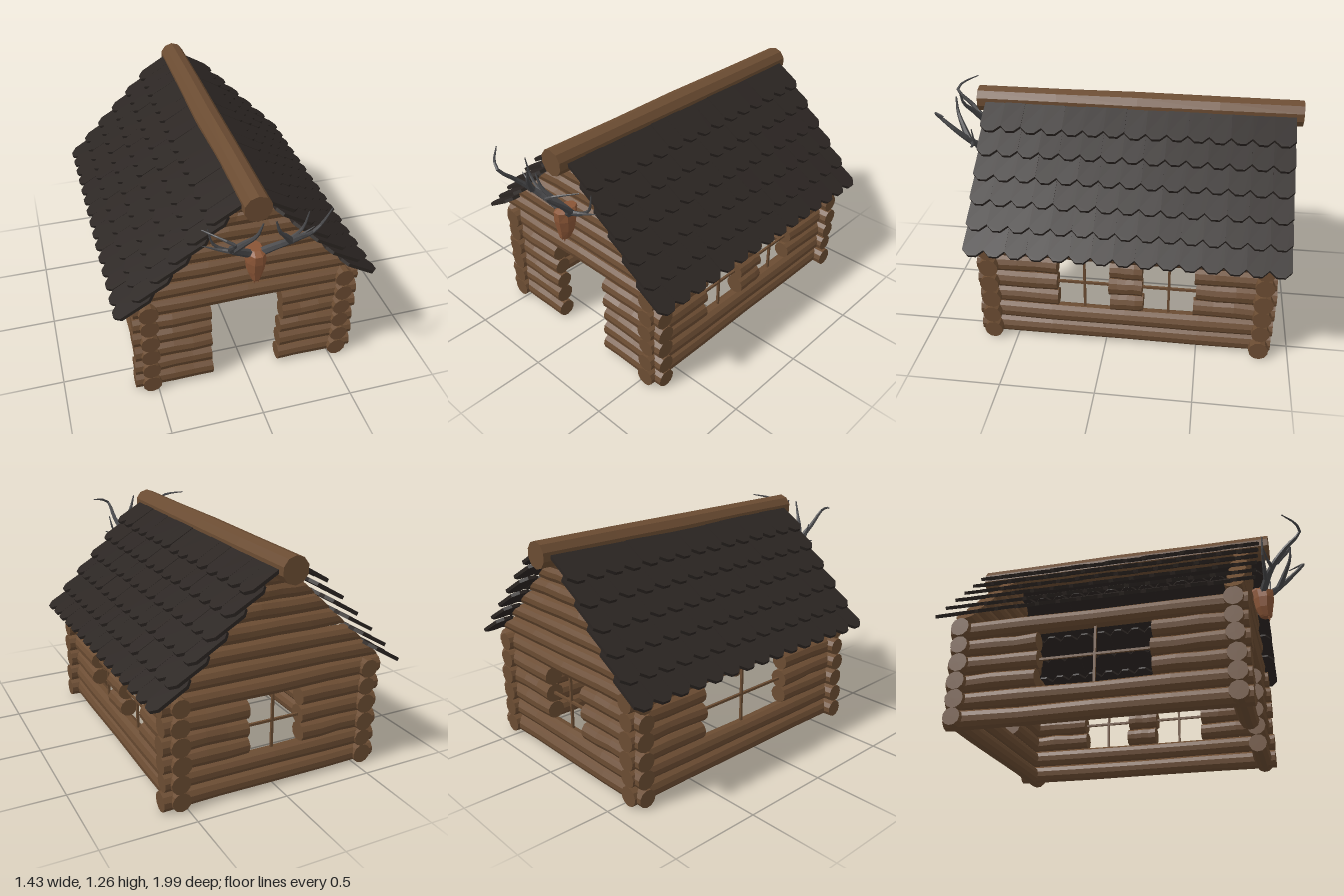
import * as THREE from 'three';

const mat = (color, extra = {}) => new THREE.MeshStandardMaterial({ color, flatShading: true, ...extra });
const wood = mat(0x6b4c32);
const slate = mat(0x2b2522);
const bone = mat(0x8a5536);
const horn = mat(0x48484a);

let seed = 7;
const rand = () => {
  seed = (seed * 16807) % 2147483647;
  return seed / 2147483647 - 0.5;
};

function add(parent, name, geometry, material) {
  const mesh = new THREE.Mesh(geometry, material);
  mesh.name = name;
  parent.add(mesh);
  return mesh;
}

// Rough log along 'x' or 'z' from a to b; each ring is slightly shifted and scaled.
function logGeometry(axis, a, b, radius, sides = 11) {
  const segs = 4, length = b - a;
  const g = new THREE.CylinderGeometry(radius, radius, length, sides, segs);
  const rings = Array.from({ length: segs + 1 }, () => [1 + rand() * 0.1, rand() * 0.006, rand() * 0.006]);
  const p = g.attributes.position;
  for (let i = 0; i < p.count; i++) {
    const [s, dx, dz] = rings[Math.round((p.getY(i) / length + 0.5) * segs)];
    p.setX(i, p.getX(i) * s + dx);
    p.setZ(i, p.getZ(i) * s + dz);
  }
  if (axis === 'x') g.rotateZ(-Math.PI / 2).translate((a + b) / 2, 0, 0);
  else g.rotateX(Math.PI / 2).translate(0, 0, (a + b) / 2);
  g.computeVertexNormals();
  return g;
}

const ROWS = 6, R = 0.051;
const rowY = (k) => 0.056 + 0.1015 * k;

// Wall of stacked logs; openings are [from, to, firstRow], reaching up to row 4.
function wall(root, name, axis, offset, start, end, openings) {
  const group = new THREE.Group();
  group.name = name;
  root.add(group);
  for (let k = 0; k < ROWS; k++) {
    let from = start + rand() * 0.012;
    const place = (to) => {
      const log = add(group, 'wallLog', logGeometry(axis, from, to, R), wood);
      log.position.set(axis === 'z' ? offset : 0, rowY(k), axis === 'x' ? offset : 0);
    };
    for (const [a, b, first] of openings) {
      if (k < first || k > 4) continue;
      place(a + rand() * 0.012);
      from = b + rand() * 0.012;
    }
    place(end + rand() * 0.012);
  }
  // Crossed glazing bars in the windows
  for (const [a, b, first] of openings) {
    if (first === 0) continue;
    const bars = new THREE.Group();
    bars.name = 'windowBars';
    add(bars, 'uprightBar', new THREE.BoxGeometry(0.013, 0.32, 0.013), wood);
    add(bars, 'crossBar', new THREE.BoxGeometry(b - a + 0.02, 0.013, 0.013), wood);
    const mid = (a + b) / 2;
    if (axis === 'z') {
      bars.rotation.y = Math.PI / 2;
      bars.position.set(offset, 0.36, mid);
    } else bars.position.set(mid, 0.36, offset);
    group.add(bars);
  }
}

// Gable of shortening logs whose ends are cut to the roof slope
function gable(root, name, z) {
  const group = new THREE.Group();
  group.name = name;
  root.add(group);
  [0.665, 0.766, 0.867, 0.965, 1.055, 1.13].forEach((y) => {
    const g = logGeometry('x', -1, 1, 0.05);
    const p = g.attributes.position;
    for (let i = 0; i < p.count; i++) {
      const half = 0.61 - (p.getY(i) + y - 0.62) * 1.05;
      p.setX(i, p.getX(i) * Math.max(half, 0.02));
    }
    g.computeVertexNormals();
    add(group, 'gableLog', g, wood).position.set(0, y, z);
  });
}

// Overlapping rows of shingles with clipped corners
function roof(root) {
  const group = new THREE.Group();
  group.name = 'roof';
  root.add(group);
  const cols = 15, pitch = 1.7 / cols, l = 0.12, w = pitch / 2, c = 0.035;
  const shape = new THREE.Shape([
    [-l, -w + c], [-l + c, -w], [l - c, -w], [l, -w + c],
    [l, w - c], [l - c, w], [-l + c, w], [-l, w - c],
  ].map(([x, y]) => new THREE.Vector2(x, y)));
  const g = new THREE.ExtrudeGeometry(shape, { depth: 0.018, bevelEnabled: false });
  g.translate(0, 0, -0.009).rotateX(-Math.PI / 2);
  for (const side of [1, -1])
    for (let row = 0; row < 6; row++)
      for (let i = 0; i < cols; i++) {
        const s = add(group, 'shingle', g, slate);
        s.position.set(side * (0.604 - 0.0955 * row), 0.655 + 0.099 * row + rand() * 0.005, 0.74 - pitch * (i + 0.5));
        s.rotation.z = -side * (0.53 + rand() * 0.02);
      }
}

// Tapering horn along a curve
function tine(parent, points, r0, r1) {
  const curve = new THREE.CatmullRomCurve3(points.map((q) => new THREE.Vector3(...q)));
  const n = points.length * 2, sides = 6;
  const g = new THREE.TubeGeometry(curve, n, 1, sides);
  const p = g.attributes.position, v = new THREE.Vector3();
  for (let i = 0; i < p.count; i++) {
    const t = Math.floor(i / (sides + 1)) / n;
    const centre = curve.getPointAt(t);
    v.fromBufferAttribute(p, i).sub(centre).multiplyScalar(r0 + (r1 - r0) * t).add(centre);
    p.setXYZ(i, v.x, v.y, v.z);
  }
  g.computeVertexNormals();
  add(parent, 'tine', g, horn);
}

function trophy(root) {
  const group = new THREE.Group();
  group.name = 'antlerTrophy';
  group.position.x = 0.012;
  root.add(group);

  // Skull from cross-sections: [y, half width, back z, front z]
  const sections = [
    [0.915, 0.035, 0.67, 0.76], [0.9, 0.046, 0.67, 0.795], [0.85, 0.05, 0.68, 0.795],
    [0.79, 0.042, 0.69, 0.785], [0.745, 0.026, 0.71, 0.778], [0.735, 0.022, 0.72, 0.775],
  ];
  const pos = [], index = [], N = 8;
  for (const [y, w, back, front] of sections)
    for (let i = 0; i < N; i++) {
      const a = ((i + 0.5) / N) * Math.PI * 2;
      pos.push(w * 1.08 * Math.sin(a), y, (back + front) / 2 + ((front - back) / 2) * 1.08 * Math.cos(a));
    }
  for (let s = 0; s < sections.length - 1; s++)
    for (let i = 0; i < N; i++) {
      const a = s * N + i, b = s * N + ((i + 1) % N);
      index.push(a, a + N, b, b, a + N, b + N);
    }
  const last = (sections.length - 1) * N;
  for (let i = 1; i < N - 1; i++) index.push(0, i, i + 1, last, last + i + 1, last + i);
  const g = new THREE.BufferGeometry();
  g.setAttribute('position', new THREE.Float32BufferAttribute(pos, 3));
  g.setIndex(index);
  g.computeVertexNormals();
  add(group, 'skull', g, bone);

  // Paired snout points and antlers
  for (const s of [1, -1]) {
    const point = add(group, 'snoutPoint', new THREE.ConeGeometry(0.013, 0.05, 5), bone);
    point.position.set(s * 0.01, 0.735, 0.762);
    point.rotation.x = Math.PI;
    const antler = new THREE.Group();
    antler.name = s > 0 ? 'leftAntler' : 'rightAntler';
    group.add(antler);
    const m = (pts) => pts.map(([x, y, z]) => [s * x, y, z]);
    tine(antler, m([[0.025, 0.89, 0.74], [0.08, 0.93, 0.765], [0.14, 0.985, 0.81], [0.175, 1.07, 0.89], [0.185, 1.16, 0.98], [0.23, 1.185, 0.965], [0.315, 1.205, 0.89]]), 0.023, 0.003);
    tine(antler, m([[0.145, 1.0, 0.825], [0.1, 1.07, 0.87], [0.055, 1.13, 0.905], [0.03, 1.205, 0.915]]), 0.02, 0.004);
    tine(antler, m([[0.08, 0.93, 0.765], [0.15, 0.955, 0.765], [0.225, 1.01, 0.765], [0.255, 1.115, 0.77]]), 0.015, 0.003);
    tine(antler, m([[0.14, 0.98, 0.81], [0.2, 0.99, 0.79], [0.285, 1.02, 0.775]]), 0.013, 0.002);
  }
}

export function createModel() {
  const root = new THREE.Group();
  root.name = 'logCabin';

  wall(root, 'frontWall', 'x', 0.63, -0.615, 0.625, [[-0.19, 0.2, 0]]);
  wall(root, 'backWall', 'x', -0.84, -0.615, 0.625, [[-0.15, 0.16, 2]]);
  wall(root, 'leftWall', 'z', 0.54, -0.905, 0.7, [[-0.48, -0.2, 2], [-0.02, 0.26, 2]]);
  wall(root, 'rightWall', 'z', -0.535, -0.905, 0.7, [[-0.41, 0.2, 2]]);
  gable(root, 'frontGable', 0.63);
  gable(root, 'backGable', -0.84);
  roof(root);

  // Ridge log
  add(root, 'ridgeLog', logGeometry('z', -1, 0.79, 0.074, 10), wood).position.y = 1.19;

  trophy(root);
  return root;
}
